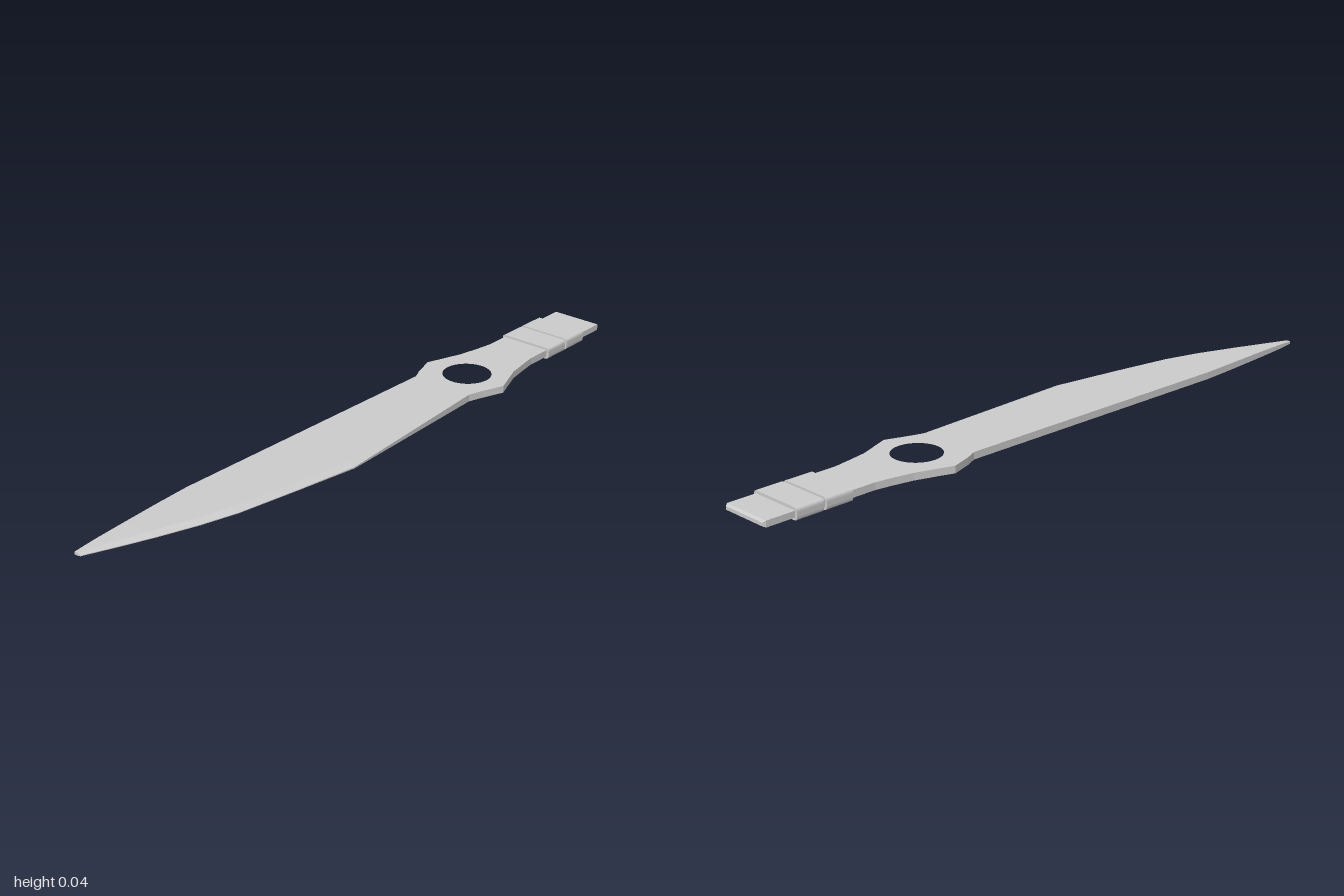
import * as THREE from 'three';

const MID = 0.0175, HALF = 0.0105;
const material = new THREE.MeshStandardMaterial({ color: 0xcccccc, flatShading: true });

function part(name, geometry) {
  const mesh = new THREE.Mesh(geometry, material);
  mesh.name = name;
  return mesh;
}

// Skins a row of equal-length rings running towards +x and closes both ends.
function loft(rings) {
  const pos = [];
  const tri = (...points) => points.forEach((p) => pos.push(...p));
  const n = rings[0].length;
  for (let i = 0; i < rings.length - 1; i++) {
    for (let j = 0; j < n; j++) {
      const k = (j + 1) % n;
      const [a, b, c, d] = [rings[i][j], rings[i][k], rings[i + 1][k], rings[i + 1][j]];
      tri(a, b, c);
      tri(a, c, d);
    }
  }
  const first = rings[0], last = rings[rings.length - 1];
  for (let j = 1; j < n - 1; j++) {
    tri(first[0], first[j + 1], first[j]);
    tri(last[0], last[j], last[j + 1]);
  }
  const geometry = new THREE.BufferGeometry();
  geometry.setAttribute('position', new THREE.Float32BufferAttribute(pos, 3));
  geometry.computeVertexNormals();
  return geometry;
}

// Blade section: flat faces from the spine to the bevel line, then a ground edge.
function bladeRing([x, spine, bevel, edge, h, e]) {
  return [
    [x, MID + h, spine], [x, MID + h, bevel], [x, MID + e, edge],
    [x, MID - e, edge], [x, MID - h, bevel], [x, MID - h, spine],
  ];
}

// Rectangular tang section.
function tangRing([x, back, front, h]) {
  return [[x, MID + h, back], [x, MID + h, front], [x, MID - h, front], [x, MID - h, back]];
}

// Rounded band around the tang.
function bandGeometry(x, width) {
  const w = 0.085, h = 0.0175, r = 0.011;
  const s = new THREE.Shape();
  s.moveTo(-w + r, -h);
  s.lineTo(w - r, -h);
  s.quadraticCurveTo(w, -h, w, -h + r);
  s.lineTo(w, h - r);
  s.quadraticCurveTo(w, h, w - r, h);
  s.lineTo(-w + r, h);
  s.quadraticCurveTo(-w, h, -w, h - r);
  s.lineTo(-w, -h + r);
  s.quadraticCurveTo(-w, -h, -w + r, -h);
  return new THREE.ExtrudeGeometry(s, { depth: width, bevelEnabled: false, curveSegments: 4 })
    .rotateY(Math.PI / 2)
    .translate(x, MID, -0.002);
}

export function createModel() {
  const model = new THREE.Group();
  model.name = 'throwingKnife';

  // Blade: x, spine z, bevel z, edge z, half thickness, half edge thickness
  const stations = [
    [-1, -0.085, -0.072, -0.063, 0.004, 0.001],
    [-0.93, -0.09, -0.052, -0.035, 0.007, 0.001],
    [-0.82, -0.097, -0.015, 0.007, 0.009, 0.001],
    [-0.7, -0.105, 0.026, 0.047, 0.01, 0.001],
    [-0.59, -0.111, 0.055, 0.076, HALF, 0.001],
    [-0.4, -0.109, 0.086, 0.106, HALF, 0.001],
    [-0.21, -0.107, 0.112, 0.133, HALF, 0.002],
    [0.33, -0.101, 0.093, 0.094, HALF, HALF],
  ];
  model.add(part('blade', loft(stations.map(bladeRing))));

  // Flared guard with a finger hole
  const back = [[0.33, -0.101], [0.365, -0.117], [0.43, -0.138], [0.475, -0.122],
    [0.54, -0.1], [0.6, -0.088], [0.65, -0.08]];
  const front = [[0.65, 0.075], [0.6, 0.083], [0.54, 0.094], [0.49, 0.113],
    [0.44, 0.132], [0.375, 0.108], [0.33, 0.094]];
  const outline = new THREE.Shape([...back, ...front].map(([x, z]) => new THREE.Vector2(x, -z)));
  const hole = new THREE.Path();
  hole.absarc(0.44, 0, 0.071, 0, Math.PI * 2, true);
  outline.holes.push(hole);
  const guard = new THREE.ExtrudeGeometry(outline, {
    depth: HALF * 2, bevelEnabled: false, curveSegments: 32,
  }).rotateX(-Math.PI / 2).translate(0, MID - HALF, 0);
  model.add(part('ringGuard', guard));

  // Tang with a chamfered end: x, back z, front z, half thickness
  model.add(part('tang', loft([
    [0.65, -0.08, 0.075, HALF],
    [0.73, -0.08, 0.075, HALF],
    [0.9, -0.08, 0.075, 0.009],
    [0.992, -0.08, 0.075, 0.009],
    [1, -0.075, 0.07, 0.005],
  ].map(tangRing))));

  // Two bands round the tang
  [0.727, 0.82].forEach((x, i) => model.add(part(`band${i + 1}`, bandGeometry(x, 0.084))));

  return model;
}
